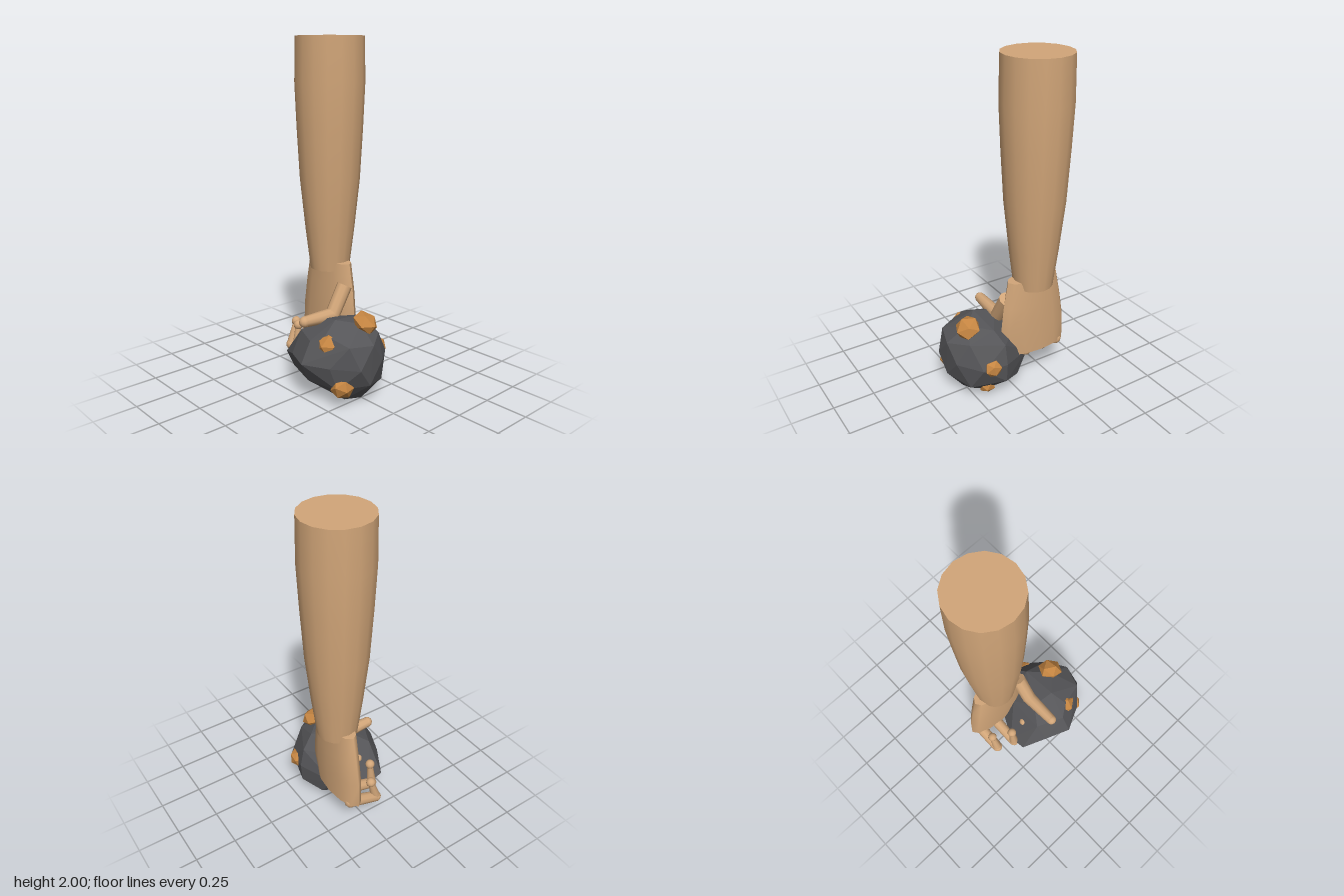
import * as THREE from 'three';
import { ConvexGeometry } from 'three/addons/geometries/ConvexGeometry.js';

const V = (x, y, z) => new THREE.Vector3(x, y, z);

export function createModel() {
  const model = new THREE.Group();
  const skin = new THREE.MeshStandardMaterial({ name: 'skin', color: 0xd2a679 });
  const stone = new THREE.MeshStandardMaterial({ name: 'stone', color: 0x555558, flatShading: true });
  const ore = new THREE.MeshStandardMaterial({ name: 'ore', color: 0xc68642, flatShading: true });

  const add = (name, geometry, material, parent = model) => {
    const mesh = new THREE.Mesh(geometry, material);
    mesh.name = name;
    parent.add(mesh);
    return mesh;
  };
  const ball = (name, p, r, parent) =>
    add(name, new THREE.SphereGeometry(r, 12, 8), skin, parent).position.copy(p);
  // Tapered round segment from a to b
  const limb = (name, a, b, ra, rb, parent) => {
    const dir = b.clone().sub(a);
    const mesh = add(name, new THREE.CylinderGeometry(rb, ra, dir.length(), 10), skin, parent);
    mesh.position.copy(a).addScaledVector(dir, 0.5);
    mesh.quaternion.setFromUnitVectors(V(0, 1, 0), dir.normalize());
  };

  // Forearm: smooth lathe closed by flat discs
  const profile = [[0.115, 0.67], [0.143, 0.9], [0.174, 1.2], [0.19, 1.5], [0.2, 1.75], [0.195, 2]];
  const arm = new THREE.Group();
  arm.name = 'forearm';
  arm.position.set(0.11, 0, -0.14);
  model.add(arm);
  add('forearmSide', new THREE.LatheGeometry(profile.map(p => new THREE.Vector2(...p)), 16), skin, arm);
  for (const [r, y, turn] of [[0.195, 2, -1], [0.115, 0.67, 1]]) {
    const cap = add('forearmEnd', new THREE.CircleGeometry(r, 16), skin, arm);
    cap.rotation.x = turn * Math.PI / 2;
    cap.position.y = y;
  }

  // Palm: flattened cylinder widening toward the knuckles
  // [height, half width, half depth, centre z]
  const rows = [[0.24, 0.072, 0.205, -0.16], [0.4, 0.075, 0.218, -0.142],
    [0.56, 0.073, 0.196, -0.137], [0.72, 0.068, 0.165, -0.135]];
  const palm = new THREE.CylinderGeometry(1, 1, 3, 12, 3);
  const pos = palm.attributes.position;
  for (let i = 0; i < pos.count; i++) {
    const [y, w, d, cz] = rows[Math.round(pos.getY(i) + 1.5)];
    pos.setXYZ(i, 0.11 + pos.getX(i) * w, y, cz + pos.getZ(i) * d);
  }
  palm.computeVertexNormals();
  add('palm', palm, skin);

  // Four curled fingers: [z, bend x, tip x, tip y]
  const fingers = [[-0.303, -0.06, -0.02, 0.31], [-0.197, -0.105, -0.09, 0.335],
    [-0.083, -0.1, -0.08, 0.3], [0.01, -0.08, -0.07, 0.28]];
  for (const [z, bx, tx, ty] of fingers) {
    const finger = new THREE.Group();
    finger.name = 'finger';
    model.add(finger);
    const knuckle = V(0.125, 0.238, z), bend = V(bx, 0.17, z), tip = V(tx, ty, z);
    ball('knuckle', knuckle, 0.038, finger);
    limb('fingerBase', knuckle, bend, 0.036, 0.032, finger);
    ball('fingerJoint', bend, 0.032, finger);
    limb('fingerEnd', bend, tip, 0.03, 0.016, finger);
    ball('fingertip', tip, 0.028, finger);
  }

  // Thumb resting over the rock
  const thumb = new THREE.Group();
  thumb.name = 'thumb';
  model.add(thumb);
  const root = V(0.08, 0.595, 0.02), joint = V(-0.015, 0.44, 0.022), end = V(-0.222, 0.45, 0.02);
  limb('thumbBase', root, joint, 0.045, 0.043, thumb);
  ball('thumbJoint', joint, 0.042, thumb);
  limb('thumbEnd', joint, end, 0.042, 0.031, thumb);
  ball('thumbTip', end, 0.031, thumb);

  // Rock: faceted hull
  const hull = [
    [-0.03, 0.005, 0.13], [0.1, 0.035, 0.18], [-0.12, 0.03, 0.24], [-0.02, 0.02, 0.27],
    [0.21, 0.13, 0.1], [0.12, 0.1, 0.29], [-0.04, 0.13, 0.36], [-0.2, 0.12, 0.27],
    [-0.25, 0.13, 0.08], [-0.17, 0.12, -0.14], [0, 0.1, -0.1], [0.14, 0.09, -0.02],
    [0.22, 0.25, 0.1], [0.195, 0.24, 0.245], [0.065, 0.25, 0.35], [-0.12, 0.24, 0.37],
    [-0.24, 0.25, 0.25], [-0.315, 0.25, 0.1], [-0.255, 0.25, -0.05], [-0.185, 0.2, -0.19],
    [-0.08, 0.18, -0.2], [0.12, 0.22, -0.1], [0.195, 0.37, 0.1], [0.1, 0.38, 0.28],
    [-0.02, 0.36, 0.365], [-0.16, 0.37, 0.32], [-0.25, 0.37, 0.1], [-0.18, 0.37, -0.06],
    [0.05, 0.36, -0.05], [0.12, 0.44, 0.13], [0, 0.445, 0.24], [-0.1, 0.465, 0.14],
    [-0.2, 0.41, 0.17], [-0.08, 0.44, 0.01]];
  add('rock', new ConvexGeometry(hull.map(p => V(...p))), stone);

  // Ore nuggets half sunk in the rock, flattened along the surface normal
  const nuggets = [[0.025, 0.45, 0.25, 0.078], [-0.19, 0.36, 0.18, 0.068], [-0.175, 0.125, 0.28, 0.066],
    [0.2, 0.245, 0.185, 0.055], [0.12, 0.065, 0.18, 0.05]];
  for (const [x, y, z, r] of nuggets) {
    const nugget = add('oreNugget', new THREE.IcosahedronGeometry(r, 0), ore);
    nugget.position.set(x, y, z);
    nugget.scale.y = 0.72;
    nugget.quaternion.setFromUnitVectors(V(0, 1, 0), V(x + 0.04, y - 0.24, z - 0.13).normalize());
  }
  return model;
}
